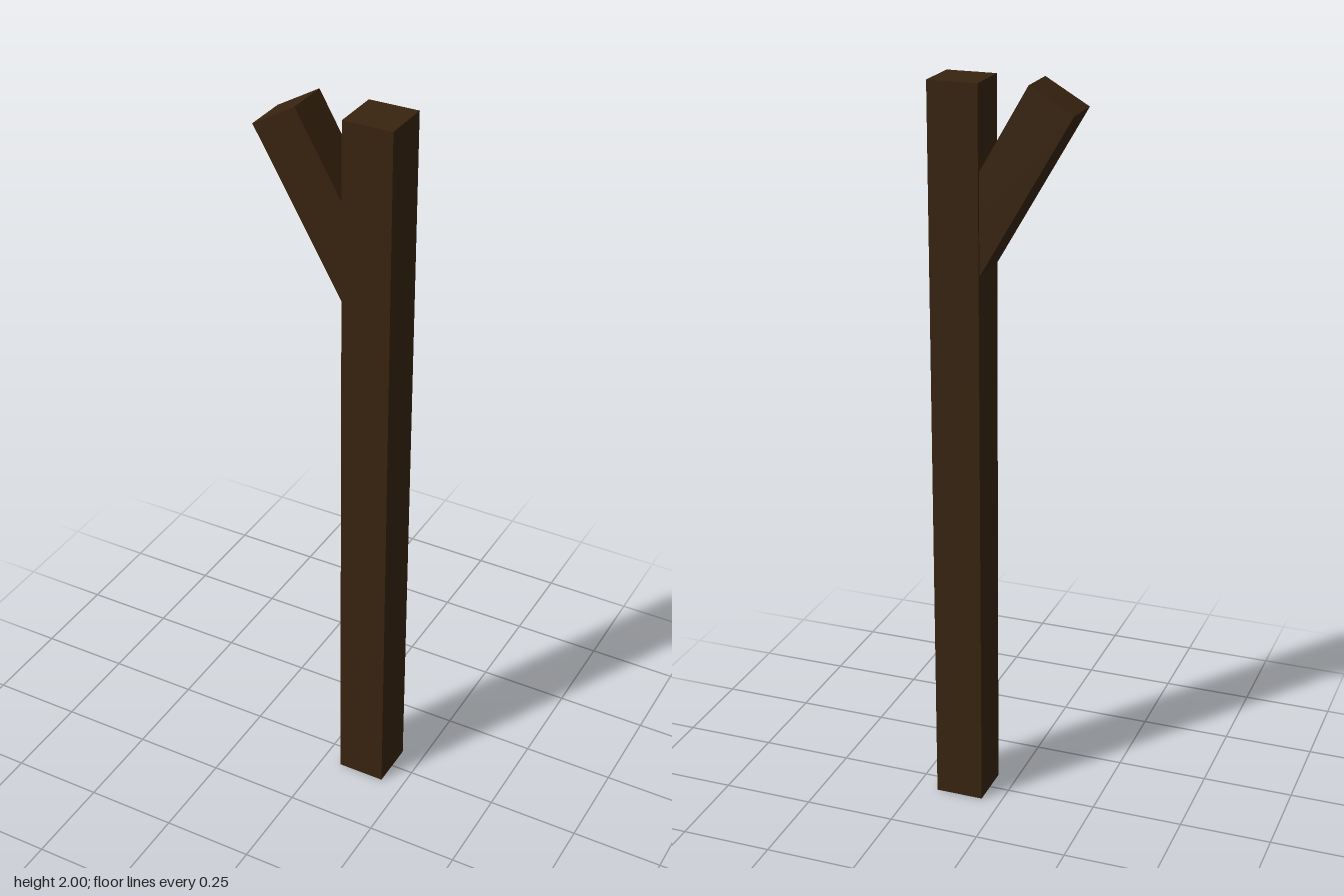
import * as THREE from 'three';

export function createModel() {
  const model = new THREE.Group();
  const darkWood = new THREE.MeshStandardMaterial({ color: 0x38240f });
  darkWood.name = 'darkWood';

  // Box beam hanging from the centre of its top end, tilted about z
  function beam(name, width, length, depth, x, top, tilt) {
    const geometry = new THREE.BoxGeometry(width, length, depth);
    geometry.translate(0, -length / 2, 0);
    const mesh = new THREE.Mesh(geometry, darkWood);
    mesh.name = name;
    mesh.position.set(x, top, 0);
    mesh.rotation.z = tilt;
    model.add(mesh);
  }

  // Upright post
  beam('post', 0.133, 1.997, 0.133, 0.1215, 1.997, 0);
  // Branch leaning out, its lower end buried in the post
  beam('branch', 0.133, 0.5, 0.12, -0.131, 1.967, Math.PI / 6);

  return model;
}
